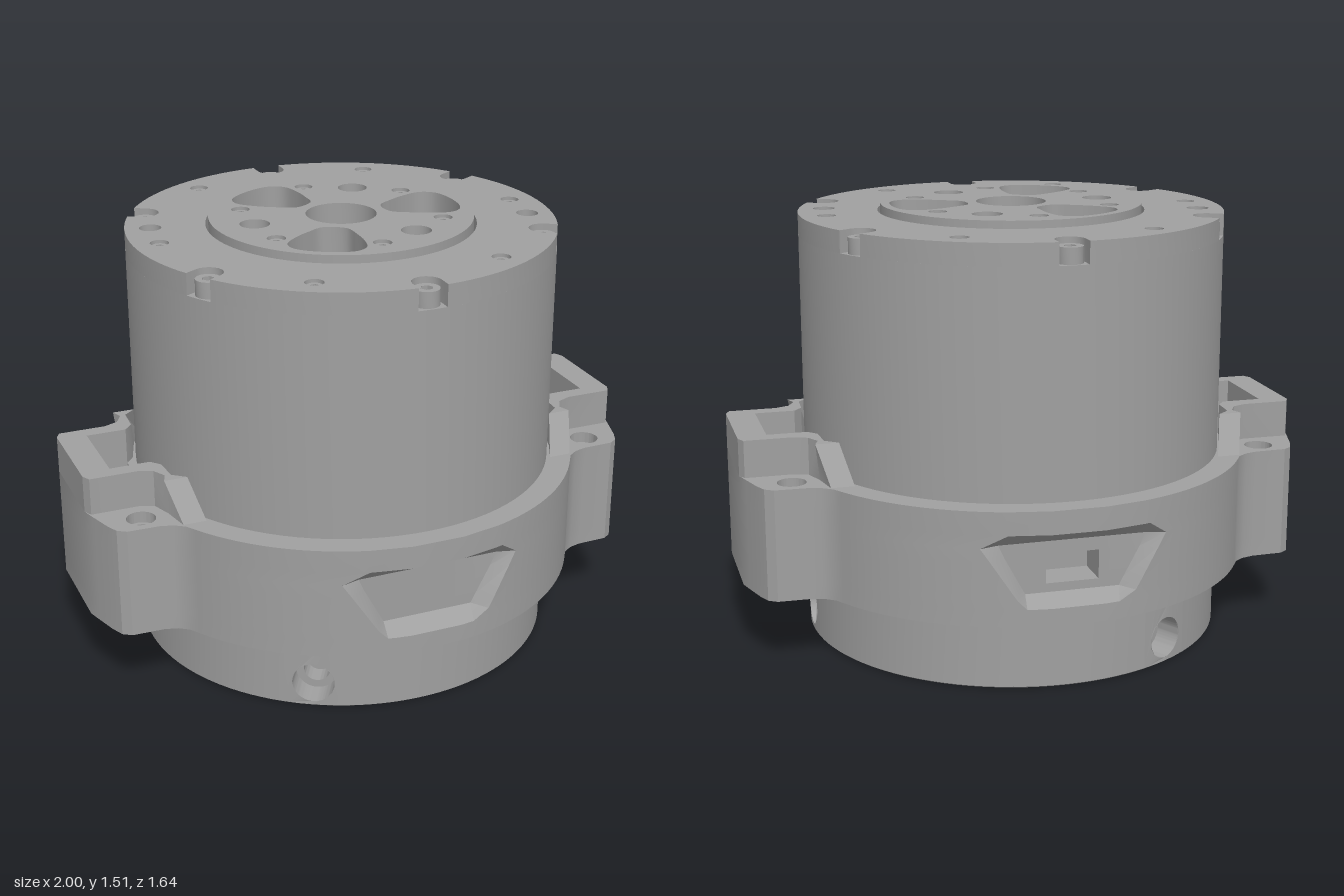
import * as THREE from 'three';
import { toCreasedNormals } from 'three/addons/utils/BufferGeometryUtils.js';

const metal = new THREE.MeshStandardMaterial({ color: 0xa0a0a0, side: THREE.DoubleSide });
metal.name = 'grey metal';

const V2 = (x, y) => new THREE.Vector2(x, y);
const polar = (r, a) => [r * Math.cos(a), r * Math.sin(a)];
const deg = Math.PI / 180;

export function createModel() {
  const model = new THREE.Group();
  const add = (name, geo, parent = model) => {
    const mesh = new THREE.Mesh(geo, metal);
    mesh.name = name;
    parent.add(mesh);
    return mesh;
  };

  // Plan points are [x, z]; a plan shape lies flat after rotateX
  const shapeOf = (pts, holes = []) => {
    const s = new THREE.Shape(pts.map(p => V2(p[0], p[1])));
    for (const h of holes) s.holes.push(new THREE.Path(h.map(p => V2(p[0], p[1]))));
    return s;
  };
  const circle = (x, z, r, n = 24, turn = 0) => Array.from({ length: n }, (_, i) => {
    const [u, v] = polar(r, turn + i / n * Math.PI * 2);
    return [x + u, z + v];
  });
  const slab = (pts, holes, top, h) => toCreasedNormals(
    new THREE.ExtrudeGeometry(shapeOf(pts, holes), { depth: h, bevelEnabled: false })
      .rotateX(Math.PI / 2).translate(0, top, 0), 0.5);
  const cap = (pts, holes, y) =>
    new THREE.ShapeGeometry(shapeOf(pts, holes)).rotateX(Math.PI / 2).translate(0, y, 0);
  const lathe = pts => toCreasedNormals(
    new THREE.LatheGeometry(pts.map(p => V2(p[0], p[1])), 96), 0.5);

  // Skin over rows of plan points, each row with its own height
  const loft = (rows, closed = true) => {
    const pos = [], idx = [], n = rows[0].pts.length;
    for (const { y, pts } of rows) for (const [x, z] of pts) pos.push(x, y, z);
    for (let r = 0; r < rows.length - 1; r++)
      for (let i = 0; i < (closed ? n : n - 1); i++) {
        const a = r * n + i, b = r * n + (i + 1) % n;
        idx.push(a, a + n, b, b, a + n, b + n);
      }
    const g = new THREE.BufferGeometry();
    g.setAttribute('position', new THREE.Float32BufferAttribute(pos, 3));
    g.setIndex(idx);
    return toCreasedNormals(g, 0.45);
  };

  // Circle with round-ended notches; dir -1 cuts inward, +1 outward
  const notched = (R, c, nr, angles, dir) => {
    const pts = [], half = Math.asin(nr / R);
    angles.forEach((a, k) => {
      const put = (u, v) => pts.push([u * Math.cos(a) - v * Math.sin(a), u * Math.sin(a) + v * Math.cos(a)]);
      put(R * Math.cos(half), -nr);
      for (let i = 0; i <= 10; i++) {
        const t = (i / 10 - 0.5) * Math.PI;
        put(c + dir * nr * Math.cos(t), nr * Math.sin(t));
      }
      put(R * Math.cos(half), nr);
      const next = k + 1 < angles.length ? angles[k + 1] : angles[0] + Math.PI * 2;
      const from = a + half, to = next - half;
      for (let i = 1; i < 16; i++) pts.push(polar(R, from + (to - from) * i / 16));
    });
    return pts;
  };
  const screw = (x, z, r, top, h) =>
    add('screw', slab(circle(x, z, r), [circle(x, z, r * 0.5, 6)], top, h));

  // Main housing
  add('housing', lathe([[0.74, 0.6], [0.74, 1.41], [0.46, 1.41], [0.46, 1.33], [0, 1.33]]));
  const sixth = [0, 1, 2, 3, 4, 5].map(i => (30 + 60 * i) * deg);
  const rimScrews = [60, 120, 240, 300, 0, 180].map(a => polar(0.65, a * deg));
  add('topPlate', slab(notched(0.74, 0.69, 0.05, sixth, -1), [
    circle(0, 0, 0.465, 96),
    ...rimScrews.map(([x, z]) => circle(x, z, 0.032)),
    circle(-0.63, -0.17, 0.038), circle(0.63, 0.17, 0.038)], 1.485, 0.075));
  for (const a of sixth) screw(...polar(0.69, a), 0.043, 1.465, 0.055);
  for (const [x, z] of rimScrews) screw(x, z, 0.027, 1.475, 0.065);

  // Output disc with three rounded pockets
  const pocketCurve = new THREE.CatmullRomCurve3([
    [0.165, -0.04], [0.22, -0.08], [0.29, -0.115], [0.36, -0.13], [0.405, -0.1], [0.425, 0],
    [0.405, 0.1], [0.36, 0.13], [0.29, 0.115], [0.22, 0.08], [0.165, 0.04]]
    .map(([x, z]) => new THREE.Vector3(x, 0, z)), true);
  const pocket = pocketCurve.getPoints(44).slice(0, -1);
  const discHoles = [circle(0, 0, 0.122, 40)];
  for (let k = 0; k < 3; k++) {
    const a = k * 120 * deg, c = Math.cos(a), s = Math.sin(a);
    discHoles.push(pocket.map(p => [p.x * c - p.z * s, p.x * s + p.z * c]));
    discHoles.push(circle(...polar(0.315, a + Math.PI / 3), 0.052));
  }
  const discScrews = sixth.map(a => polar(0.35, a));
  for (const [x, z] of discScrews) discHoles.push(circle(x, z, 0.032));
  add('outputDisc', slab(circle(0, 0, 0.455, 96), discHoles, 1.51, 0.18));
  for (const [x, z] of discScrews) screw(x, z, 0.027, 1.5, 0.15);

  // Clamp ring: one quarter outline mirrored, with a window front and back
  const R = 0.825;
  const ear = [[1, 0.17], [0.985, 0.22], [0.96, 0.3], [0.94, 0.345], [0.91, 0.365],
    [0.80, 0.368], [0.755, 0.38], [0.72, 0.405]];
  const onRing = x => Math.sqrt(R * R - x * x);
  const quarter = (wo, wi, deep, back) => {
    const pts = [...ear], a0 = 32 * deg, a1 = Math.acos(wo / R);
    for (let i = 0; i <= 14; i++) pts.push(polar(R, a0 + (a1 - a0) * i / 14));
    const z = x => (deep ? 0.745 : onRing(x));
    pts.push([wi, z(wi)], [0.09, z(0.09)], [0.09, deep === 2 && back ? 0.62 : z(0.09)]);
    return pts;
  };
  const section = (wo, wi, deep) => {
    const f = quarter(wo, wi, deep, false), b = quarter(wo, wi, deep, true);
    return [...f, ...[...f].reverse().map(([x, z]) => [-x, z]),
      ...b.map(([x, z]) => [-x, -z]), ...[...b].reverse().map(([x, z]) => [x, -z])];
  };
  const rows = [
    [0.25, 0.17, 0.14, 0], [0.31, 0.17, 0.14, 0], [0.34, 0.2, 0.16, 1],
    [0.37, 0.22, 0.176, 1], [0.37, 0.22, 0.176, 2], [0.47, 0.285, 0.23, 2],
    [0.47, 0.285, 0.23, 1], [0.515, 0.315, 0.25, 1], [0.56, 0.25, 0.23, 0], [0.64, 0.25, 0.23, 0],
  ].map(([y, wo, wi, deep]) => ({ y, pts: section(wo, wi, deep) }));
  const clamp = new THREE.Group();
  clamp.name = 'clampRing';
  model.add(clamp);
  const earPocket = s => [[0.76 * s, -0.145], [0.9 * s, -0.145], [0.9 * s, 0.145], [0.76 * s, 0.145]];
  const bolts = [[0.84, 0.29], [0.84, -0.29], [-0.84, 0.29], [-0.84, -0.29]];
  add('clampWall', loft(rows), clamp);
  add('clampBottom', cap(rows[0].pts, [circle(0, 0, 0.7, 96)], 0.25), clamp);
  add('clampTop', cap(rows[9].pts, [circle(0, 0, 0.735, 96), earPocket(1), earPocket(-1),
    ...bolts.map(([x, z]) => circle(x, z, 0.05))], 0.64), clamp);
  for (const [x, z] of bolts)
    add('boltHole', lathe([[0.05, 0.64], [0.05, 0.6], [0.036, 0.6], [0.036, 0.4], [0, 0.4]])
      .translate(x, 0, z), clamp);

  // Raised wall round each ear pocket, its arms sloping down along the housing
  const wallHalf = [[1, 0.17], [0.985, 0.2], [0.82, 0.2], [0.77, 0.22], [0.745, 0.29], [0.725, 0.39],
    [0.645, 0.39], [0.69, 0.3], [0.73, 0.18], [0.76, 0.145], [0.9, 0.145]];
  for (const s of [1, -1]) {
    const low = [...wallHalf, ...[...wallHalf].reverse().map(([x, z]) => [x, -z])];
    const high = low.map(([x, z]) => Math.abs(z) > 0.25
      ? [x + (x < 0.73 ? 0.035 : 0), Math.sign(z) * (0.25 + (Math.abs(z) - 0.25) * 0.4)] : [x, z]);
    const side = pts => pts.map(([x, z]) => [x * s, z]);
    add('earWall', loft([{ y: 0.64, pts: side(low) }, { y: 0.77, pts: side(high) }]), clamp);
    add('earWallTop', cap(side(high), [], 0.77), clamp);
    add('earPocket', loft([{ y: 0.48, pts: earPocket(s) }, { y: 0.64, pts: earPocket(s) }]), clamp);
    add('earPocketFloor', cap(earPocket(s), [], 0.48), clamp);
  }

  // Base: curved wall with three counterbored radial holes
  const B = 0.737, w = 0.1, H = 0.25;
  for (let k = 0; k < 3; k++) {
    const a = k * 120 * deg, edge = [-1, -0.5, 0, 0.5, 1].map(t => t * w);
    const panel = new THREE.ShapeGeometry(shapeOf(
      [...edge.map(x => [x, 0.005]), ...[...edge].reverse().map(x => [x, H])], [circle(0, 0.09, 0.072, 32)]));
    const p = panel.attributes.position;
    for (let i = 0; i < p.count; i++) {
      const [x, z] = polar(B, a - p.getX(i) / B);
      p.setXYZ(i, x, p.getY(i), z);
    }
    panel.computeVertexNormals();
    add('baseHolePanel', panel);
    const from = a + w / B, to = a + 120 * deg - w / B;
    const arc = Array.from({ length: 33 }, (_, i) => polar(B, from + (to - from) * i / 32));
    add('baseWall', loft([{ y: 0.005, pts: arc }, { y: H, pts: arc }], false));
    const hole = lathe([[0.072, 0], [0.072, -0.09], [0.045, -0.09], [0.045, -0.16], [0, -0.16]]);
    add('radialHole', hole.rotateZ(-Math.PI / 2).translate(B - 0.001, 0.09, 0).rotateY(-a));
  }

  // Underside with a stepped, notched bore
  const corners = [45, 135, 225, 315].map(a => a * deg);
  add('baseRim', lathe([[0.56, 0], [0.73, 0], [B, 0.006]]));
  add('bore', slab(circle(0, 0, 0.5605, 96), [notched(0.465, 0.5, 0.05, corners, 1)], 0.17, 0.17));
  add('boreFloor', lathe([[0.56, 0.17], [0.34, 0.17], [0.34, 0.25], [0, 0.25]]));
  for (const a of [0, 90, 180, 270]) {
    const arc = (r, d) => Array.from({ length: 13 }, (_, i) => polar(r, (a + d * (i / 6 - 1) * 24) * deg));
    add('borePad', slab([...arc(0.47, 1), ...arc(0.435, -1)], [], 0.12, 0.05));
  }
  const [px, pz] = polar(0.5, 135 * deg);
  add('borePost', slab(circle(px, pz, 0.046), [circle(px, pz, 0.025)], 0.16, 0.155));

  return model;
}
